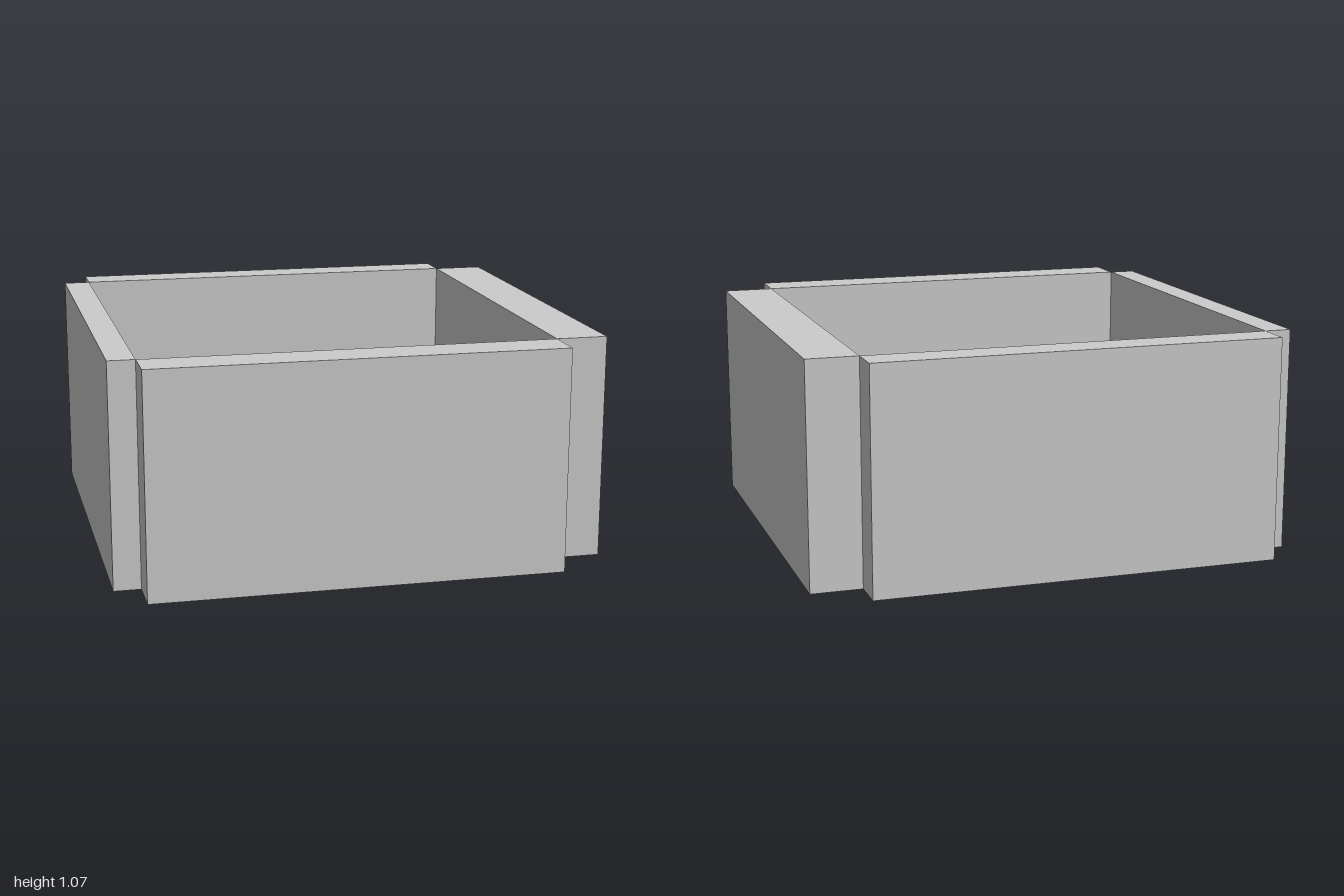
import * as THREE from 'three';

const mat = new THREE.MeshStandardMaterial({ color: 0xcccccc, flatShading: true });

export function createModel() {
  const model = new THREE.Group();

  const add = (name, geometry, x = 0, y = 0, z = 0) => {
    const mesh = new THREE.Mesh(geometry, mat);
    mesh.name = name;
    mesh.position.set(x, y, z);
    model.add(mesh);
    return mesh;
  };
  // Box given by its limits on each axis
  const block = (name, [x0, x1], [y0, y1], [z0, z1]) =>
    add(name, new THREE.BoxGeometry(x1 - x0, y1 - y0, z1 - z0),
      (x0 + x1) / 2, (y0 + y1) / 2, (z0 + z1) / 2);

  const base = 0.155, floorTop = 0.235, rim = 1.07;
  const innerX = [-0.89, 0.785], innerZ = [-0.85, 0.825];

  // Open tray: floor and four walls that leave the corners notched
  block('floor', innerX, [base, floorTop], innerZ);
  block('frontWall', innerX, [base, rim], [innerZ[1], 1]);
  block('backWall', innerX, [base, rim], [-1, innerZ[0]]);
  block('rightWall', [-1, innerX[0]], [base, rim], innerZ);
  block('leftWall', [innerX[1], 0.995], [base, rim], innerZ);

  // Raised platform with a ramp running down to the floor
  const side = new THREE.Shape([
    [innerZ[1], floorTop], [innerZ[1], 0.43], [0.32, 0.43], [-0.02, floorTop],
  ].map(([z, y]) => new THREE.Vector2(-z, y)));
  const platform = new THREE.ExtrudeGeometry(side, { depth: 0.495, bevelEnabled: false });
  platform.rotateY(Math.PI / 2);
  add('rampPlatform', platform, 0.29);

  // Raised slabs
  block('rightSlab', [-0.6, -0.2], [0.54, 0.597], [-0.2, 0.18]);
  block('leftSlab', [0.21, 0.62], [0.54, 0.597], [-0.2, 0.18]);
  block('smallBlock', [-0.505, -0.295], [0.485, 0.585], [0.6, 0.795]);

  // Row of posts along the back: x, z, radius, top
  for (const [x, z, r, top] of [
    [-0.51, -0.65, 0.055, 0.3],
    [-0.285, -0.6, 0.073, 0.36],
    [0.01, -0.68, 0.073, 0.47],
    [0.325, -0.525, 0.073, 0.42],
  ]) {
    const h = top - floorTop;
    add('post', new THREE.CylinderGeometry(r, r, h, 32), x, floorTop + h / 2, z);
  }

  // Ball sunk through the floor
  add('ball', new THREE.SphereGeometry(0.175, 32, 16), -0.6, 0.175, -0.03);

  // Ring half buried in the floor
  const ring = new THREE.TorusGeometry(0.145, 0.06, 12, 48);
  ring.rotateX(Math.PI / 2);
  add('ring', ring, -0.595, 0.208, 0.525);

  // Shallow cone pointing down
  add('invertedCone', new THREE.CylinderGeometry(0.135, 0, 0.09, 32), 0.05, 0.43, 0.69);

  return model;
}
